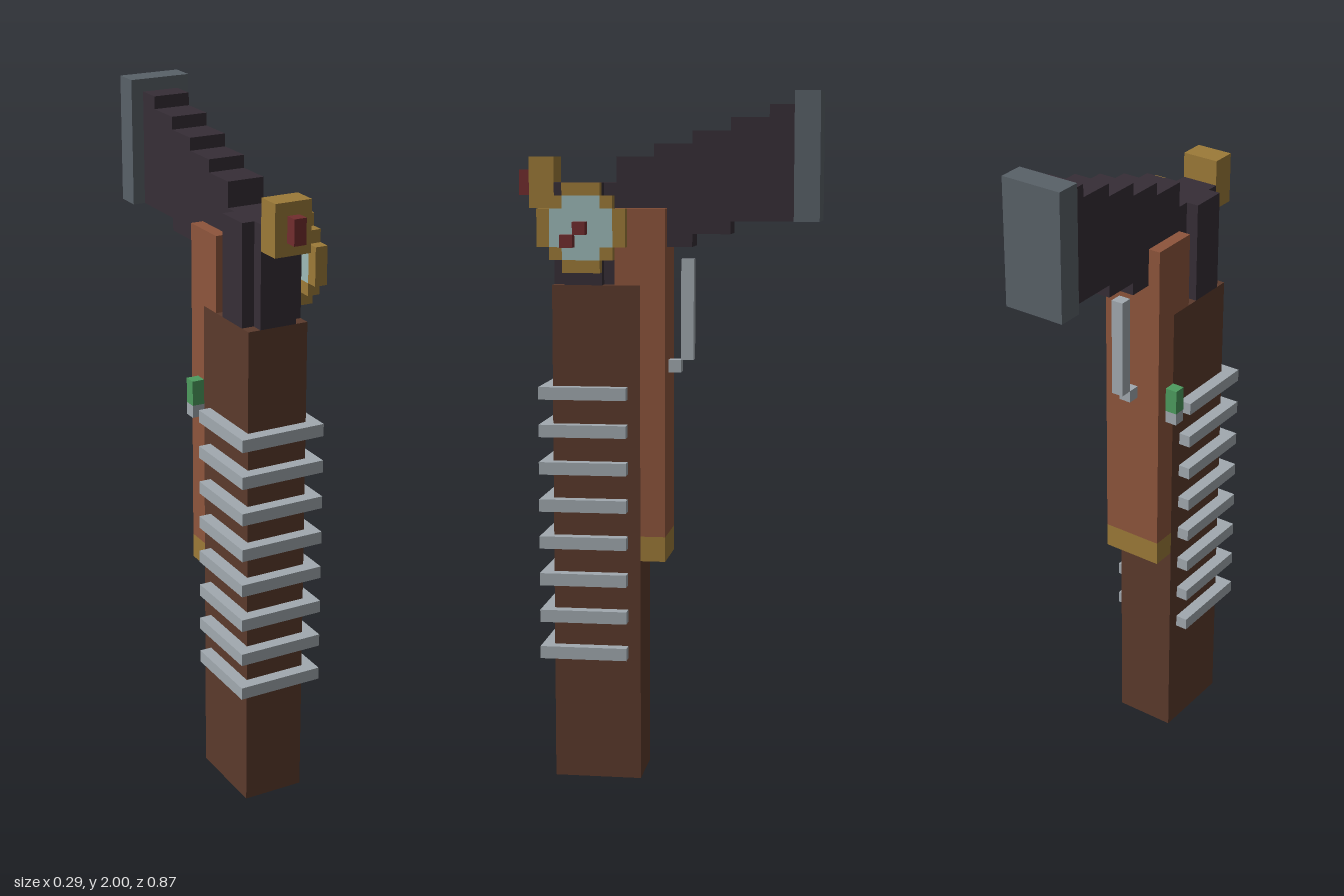
import * as THREE from 'three';

// The model sits on a block grid, 55 blocks tall
const U = 2 / 55;

function mat(name, color) {
  const m = new THREE.MeshStandardMaterial({ color });
  m.name = name;
  return m;
}

export function createModel() {
  const model = new THREE.Group();
  model.name = 'steppedGripDevice';

  const darkWood = mat('dark wood', 0x5b3a2c);
  const lightWood = mat('light wood', 0x8e553c);
  const brass = mat('brass', 0x9c7a38);
  const iron = mat('dark iron', 0x362e36);
  const slate = mat('slate', 0x596168);
  const silver = mat('silver', 0xa1a9af);
  const glass = mat('gauge glass', 0x9dbab8);
  const red = mat('red', 0x722d2e);
  const green = mat('green', 0x4d9b5e);

  // Box between block coordinates on each axis
  function box(name, material, [x0, x1], [y0, y1], [z0, z1], parent = model) {
    const geo = new THREE.BoxGeometry((x1 - x0) * U, (y1 - y0) * U, (z1 - z0) * U);
    const mesh = new THREE.Mesh(geo, material);
    mesh.position.set((x0 + x1) / 2 * U, (y0 + y1) / 2 * U, (z0 + z1) / 2 * U);
    mesh.name = name;
    parent.add(mesh);
    return mesh;
  }
  function group(name) {
    const g = new THREE.Group();
    g.name = name;
    model.add(g);
    return g;
  }

  const wide = [-3, 2], narrow = [-2, 1];

  // Wooden body and back rail
  box('barrel', darkWood, wide, [0, 40], [2, 9]);
  box('backRail', lightWood, wide, [20, 46], [0, 2]);
  box('backRailTop', lightWood, wide, [40, 46], [2, 4]);
  box('backRailCap', brass, wide, [18, 20], [0, 2]);

  // Iron head with notched corners
  const head = group('head');
  box('headCore', iron, narrow, [40, 48], [4, 9], head);
  for (const side of [[-3, -2], [1, 2]]) box('headSide', iron, side, [40, 48], [5, 8], head);

  // Stepped grip rising to the butt plate: [zBack, zFront, yBottom, yTop]
  const grip = group('grip');
  const steps = [[1, 4, 43, 50], [-2, 1, 43, 51], [-5, -2, 44, 52], [-8, -5, 45, 53], [-10, -8, 45, 54]];
  for (const [z0, z1, y0, y1] of steps) box('gripStep', iron, narrow, [y0, y1], [z0, z1], grip);
  box('buttPlate', slate, wide, [45, 55], [-12, -10]);

  // Front sight
  box('frontSight', brass, narrow, [46, 50], [9, 11]);
  box('sightBead', red, [-1, 0], [47, 49], [11, 12]);

  // Round gauge on the left side
  const gauge = group('gauge');
  const dial = [2, 3];
  for (const y of [41, 47]) box('gaugeRim', brass, dial, [y, y + 1], [5, 8], gauge);
  for (const z of [3, 9]) box('gaugeRim', brass, dial, [43, 46], [z, z + 1], gauge);
  for (const y of [42, 46])
    for (const z of [4, 8]) box('gaugeRimCorner', brass, dial, [y, y + 1], [z, z + 1], gauge);
  box('gaugeFace', glass, dial, [42, 47], [5, 8], gauge);
  for (const z of [4, 8]) box('gaugeFaceSide', glass, dial, [43, 46], [z, z + 1], gauge);
  box('needleHub', red, [3, 4], [44, 45], [6, 7], gauge);
  box('needleTip', red, [3, 4], [43, 44], [7, 8], gauge);

  // Eight U-shaped coils around the front of the barrel
  for (let i = 0; i < 8; i++) {
    const coil = group('coil');
    const y = [10 + i * 3, 11 + i * 3];
    box('coilFront', silver, [-4, 3], y, [9, 10], coil);
    for (const side of [[-4, -3], [2, 3]]) box('coilSide', silver, side, y, [3, 9], coil);
  }

  // Trigger lever behind the rail
  box('lever', silver, [-1, 0], [34, 42], [-2, -1]);
  box('leverPivot', silver, [-1, 0], [33, 34], [-1, 0]);

  // Indicator lamp on the right side
  box('lamp', green, [-4, -3], [32, 34], [1, 2]);
  box('lampBase', silver, [-4, -3], [31, 32], [1, 2]);

  return model;
}
